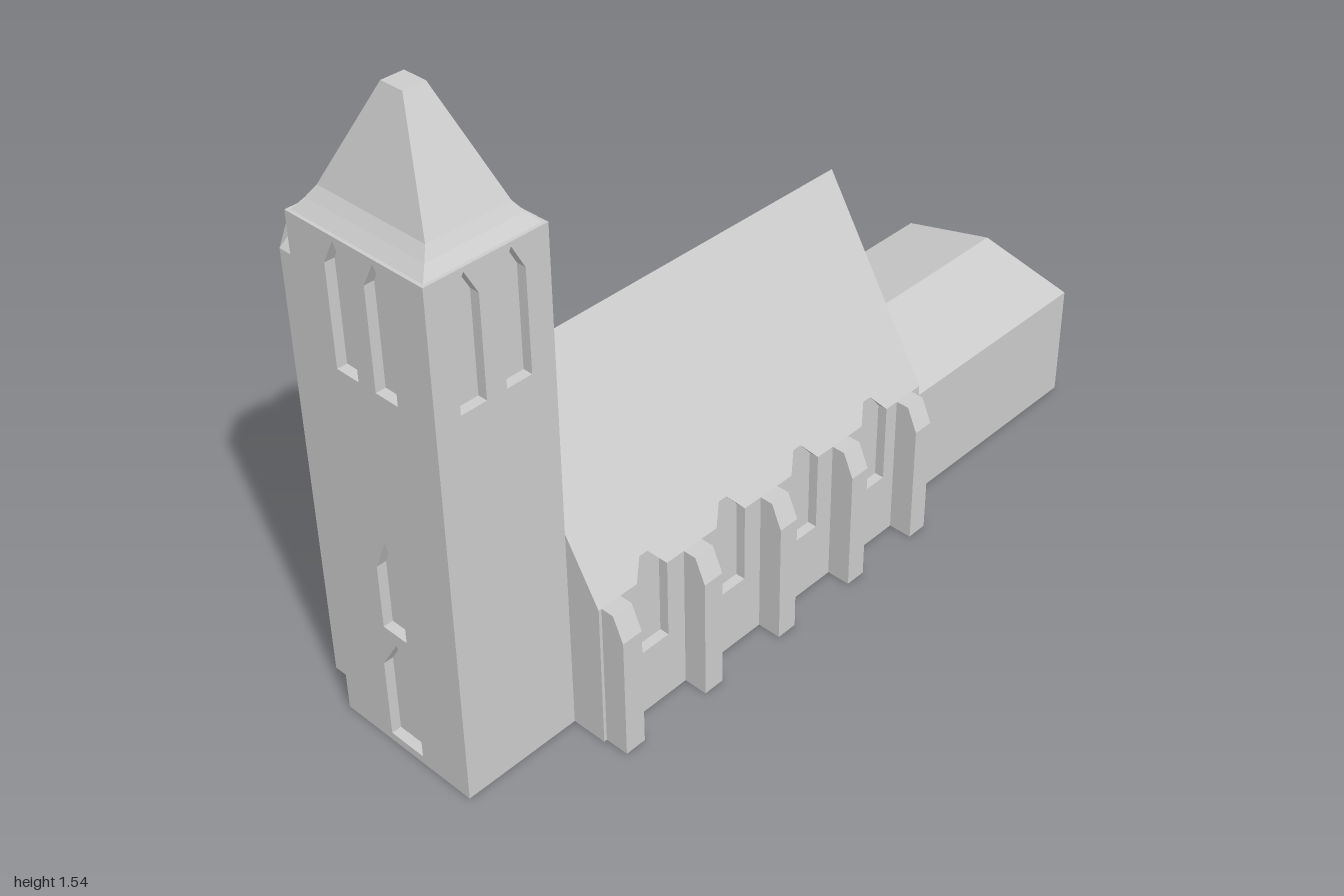
import * as THREE from 'three';

const stone = new THREE.MeshStandardMaterial({ color: 0xcccccc });
stone.name = 'pale grey stone';

const CZ = 0.015;      // common axis of tower, nave and annexe
const RECESS = 0.024;  // depth of window niches

function add(parent, name, geometry, x = 0, y = 0, z = 0) {
  const mesh = new THREE.Mesh(geometry, stone);
  mesh.name = name;
  mesh.position.set(x, y, z);
  parent.add(mesh);
  return mesh;
}

const polygon = (pts) => new THREE.Shape(pts.map(([x, y]) => new THREE.Vector2(x, y)));
const extrude = (shape, depth) => new THREE.ExtrudeGeometry(shape, { depth, bevelEnabled: false });

// Extrudes a (z, y) profile along x, from x0 to x1
function alongX(profile, x0, x1) {
  const g = extrude(polygon(profile.map(([z, y]) => [-z, y])), x1 - x0);
  return g.rotateY(Math.PI / 2).translate(x0, 0, 0);
}

function faceted(g) {
  const flat = g.index ? g.toNonIndexed() : g;
  flat.computeVertexNormals();
  return flat;
}

// Wall slab with pointed openings; openings are [centre, bottom, shoulder, apex, halfWidth]
function wallPanel(width, height, openings) {
  const w = width / 2;
  const shape = polygon([[-w, 0], [w, 0], [w, height], [-w, height]]);
  for (const [c, y0, y1, y2, h] of openings) {
    shape.holes.push(polygon([[c - h, y0], [c - h, y1], [c, y2], [c + h, y1], [c + h, y0]]));
  }
  return extrude(shape, RECESS);
}

// Tapered spire from rectangular sections [y, halfX, halfZ]
function spireGeometry(sections) {
  const pos = [];
  const ring = ([y, a, b]) => [[-a, y, b], [a, y, b], [a, y, -b], [-a, y, -b]];
  const quad = (a, b, c, d) => pos.push(...a, ...b, ...c, ...a, ...c, ...d);
  for (let i = 0; i < sections.length - 1; i++) {
    const lo = ring(sections[i]), hi = ring(sections[i + 1]);
    for (let k = 0; k < 4; k++) {
      const n = (k + 1) % 4;
      quad(lo[k], lo[n], hi[n], hi[k]);
    }
  }
  quad(...ring(sections[sections.length - 1]));
  const g = new THREE.BufferGeometry();
  g.setAttribute('position', new THREE.Float32BufferAttribute(pos, 3));
  g.computeVertexNormals();
  return g;
}

function buildTower() {
  const tower = new THREE.Group();
  tower.name = 'tower';
  const W = 0.3, D = 0.39, H = 1.26;
  add(tower, 'towerCore', new THREE.BoxGeometry(W - 2 * RECESS, H, D - 2 * RECESS), 0, H / 2, 0);

  // Paired belfry windows on all four sides
  const belfry = (spread) => [-spread, spread].map((c) => [c, 0.95, 1.19, 1.25, 0.032]);
  const westOpenings = [[0, 0.02, 0.22, 0.3, 0.05], [0, 0.33, 0.49, 0.57, 0.036]];
  const sideWidth = D - 2 * RECESS;
  add(tower, 'towerFrontWall', wallPanel(W, H, belfry(0.057)), 0, 0, D / 2 - RECESS);
  add(tower, 'towerBackWall', wallPanel(W, H, belfry(0.057)), 0, 0, -D / 2);
  add(tower, 'towerLeftWall', wallPanel(sideWidth, H, belfry(0.057)), W / 2 - RECESS, 0, 0)
    .rotation.y = Math.PI / 2;
  add(tower, 'towerRightWall', wallPanel(sideWidth, H, [...belfry(0.057), ...westOpenings]), -W / 2 + RECESS, 0, 0)
    .rotation.y = -Math.PI / 2;

  // Flared spire with a blunt tip
  add(tower, 'spire', spireGeometry([
    [1.26, 0.142, 0.187], [1.285, 0.12, 0.168], [1.31, 0.102, 0.152], [1.54, 0.027, 0.03],
  ]));
  tower.position.set(-0.85, 0, CZ);
  return tower;
}

function buildTurret() {
  const turret = new THREE.Group();
  turret.name = 'stairTurret';
  const R = 0.105 / Math.cos(Math.PI / 8);
  const octagon = (top, bottom, h) =>
    faceted(new THREE.CylinderGeometry(top, bottom, h, 8).rotateY(Math.PI / 8));
  add(turret, 'turretShaft', octagon(R, R, 1.1), 0, 0.55, 0);
  add(turret, 'turretCap', octagon(0.029, R, 0.1), 0, 1.15, 0);
  turret.position.set(-0.84, 0, -0.253);
  return turret;
}

function buildNave() {
  const nave = new THREE.Group();
  nave.name = 'nave';
  const x0 = -0.7, x1 = 0.35, eave = 0.37, cut = 0.41, ridge = 0.845;
  const half = 0.285, inner = half - RECESS;
  const windows = [-0.545, -0.303, -0.06, 0.183];
  const buttresses = [-0.665, -0.422, -0.18, 0.063, 0.293];
  const hw = 0.045, hTop = 0.012, sill = 0.17;

  add(nave, 'naveBody', alongX(
    [[-inner, 0], [inner, 0], [inner, cut], [0, ridge], [-inner, cut]], x0, x1));

  // Outer wall, notched at the windows
  const comb = [[x0, 0], [x1, 0], [x1, eave]];
  for (const c of [...windows].reverse()) {
    comb.push([c + hw, eave], [c + hw, sill], [c - hw, sill], [c - hw, eave]);
  }
  comb.push([x0, eave]);

  for (const s of [1, -1]) {
    const side = s > 0 ? 'front' : 'back';
    const zBase = s > 0 ? inner : -half;
    add(nave, side + 'AisleWall', extrude(polygon(comb), RECESS), 0, 0, zBase);

    // Lower roof edge between the window points
    for (let i = 0; i <= windows.length; i++) {
      const l = i ? windows[i - 1] : x0, r = i < windows.length ? windows[i] : x1;
      const a = i ? 1 : 0, b = i < windows.length ? 1 : 0;
      const g = extrude(polygon([
        [l + a * hw, eave], [r - b * hw, eave], [r - b * hTop, cut], [l + a * hTop, cut],
      ]), RECESS).translate(0, 0, zBase);
      const p = g.attributes.position;
      for (let v = 0; v < p.count; v++) if (p.getY(v) > eave + 0.01) p.setZ(v, s * inner);
      add(nave, side + 'RoofEdge', faceted(g));
    }

    // Buttresses with sloped heads
    const profile = [[inner, 0], [0.345, 0], [0.345, 0.31], [0.318, eave], [inner, eave]];
    for (const c of buttresses) {
      add(nave, side + 'Buttress', alongX(profile.map(([z, y]) => [s * z, y]), c - 0.027, c + 0.027));
    }
  }
  nave.position.z = CZ;
  return nave;
}

export function createModel() {
  const church = new THREE.Group();
  church.name = 'church';
  church.add(buildTower(), buildTurret(), buildNave());
  // Low annexe with a shallow gable
  add(church, 'annexe', alongX(
    [[-0.25, 0], [0.25, 0], [0.25, 0.3], [0, 0.36], [-0.25, 0.3]], 0.35, 1), 0, 0, CZ);
  return church;
}
